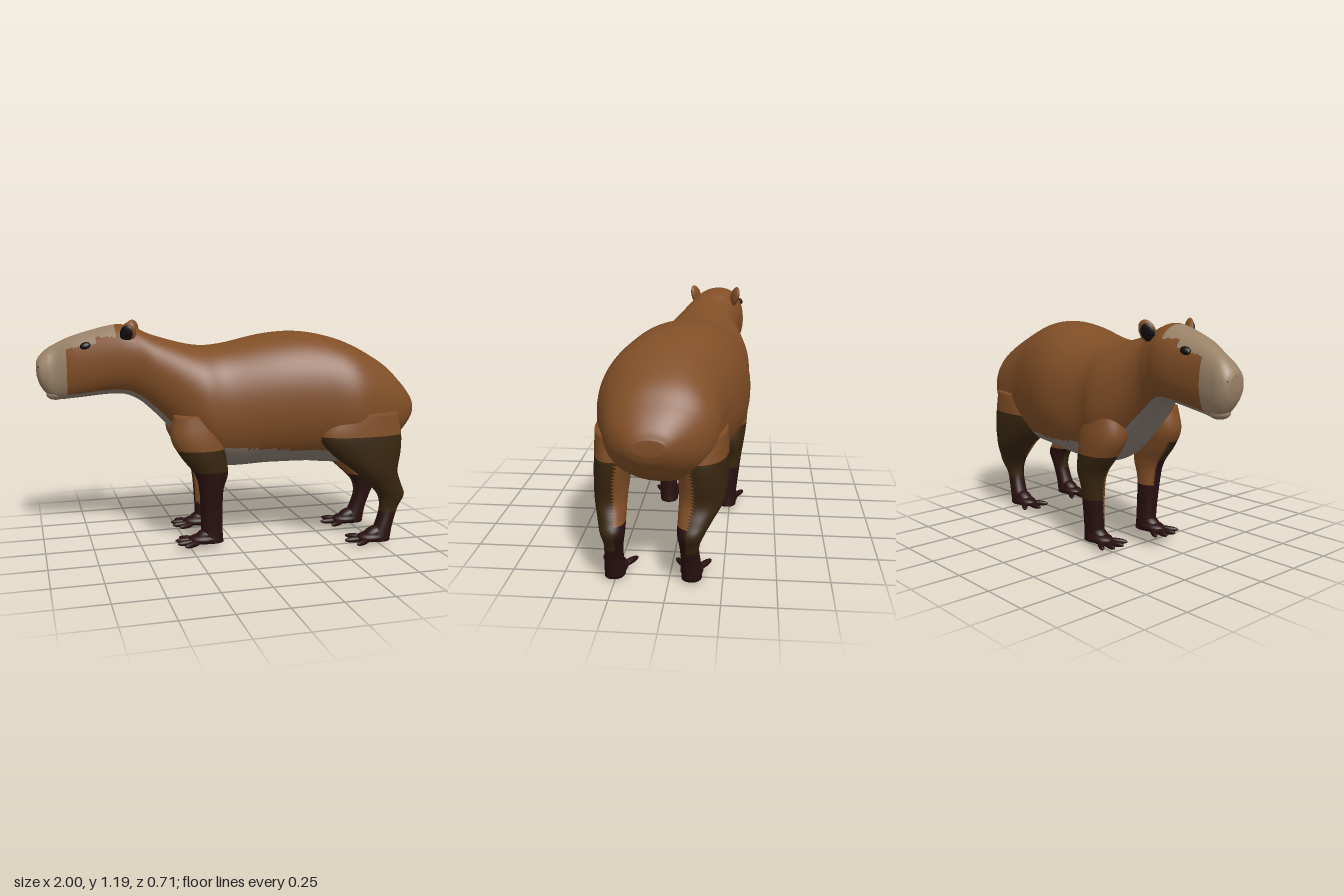
import * as THREE from 'three';

const mat = (name, color) => Object.assign(new THREE.MeshStandardMaterial({ color }), { name });
const MATS = [
  mat('brown fur', 0x804e26), mat('pale muzzle', 0x9a8268), mat('grey belly', 0x8a7f74),
  mat('dark brown fur', 0x38260f), mat('maroon feet', 0x28100f), mat('black', 0x120c0a),
];
const [BROWN, PALE, GREY, DARK, MAROON, BLACK] = MATS.keys();

// Smooth tube through sections [pos, aMin, aMax, bMin, bMax]; pick(point, u) chooses each face's material
function loft(name, sections, rings, segs, place, pick) {
  const lo = new THREE.CatmullRomCurve3(sections.map(s => new THREE.Vector3(s[0], s[1], s[2])), false, 'catmullrom');
  const hi = new THREE.CatmullRomCurve3(sections.map(s => new THREE.Vector3(s[3], s[4], 0)), false, 'catmullrom');
  const verts = [], info = [];
  const add = (pos, a, b, u) => {
    const p = place(pos, a, b);
    verts.push(p.x, p.y, p.z);
    info.push({ p, u });
  };
  const round = c => Math.sign(c) * Math.abs(c) ** (2 / 2.2);
  for (let i = 0; i <= rings; i++) {
    const A = lo.getPoint(i / rings), B = hi.getPoint(i / rings);
    for (let j = 0; j < segs; j++) {
      const t = j / segs * Math.PI * 2, u = round(Math.cos(t)), v = round(Math.sin(t));
      add(A.x, (A.y + A.z) / 2 + u * (A.z - A.y) / 2, (B.x + B.y) / 2 + v * (B.y - B.x) / 2, u);
    }
  }
  for (const s of [sections[0], sections.at(-1)]) add(s[0], (s[1] + s[2]) / 2, (s[3] + s[4]) / 2, 0);
  const lists = MATS.map(() => []);
  const face = (...ids) => {
    const p = new THREE.Vector3();
    let u = 0;
    for (const k of ids) { p.addScaledVector(info[k].p, 1 / 3); u += info[k].u / 3; }
    lists[pick(p, u)].push(...ids);
  };
  const last = rings * segs, end = last + segs;
  for (let j = 0; j < segs; j++) {
    const k = (j + 1) % segs;
    for (let i = 0; i < rings; i++) {
      const r = i * segs, n = r + segs;
      face(r + j, r + k, n + j);
      face(r + k, n + k, n + j);
    }
    face(end, k, j);
    face(end + 1, last + j, last + k);
  }
  const geo = new THREE.BufferGeometry();
  geo.setAttribute('position', new THREE.Float32BufferAttribute(verts, 3));
  geo.setIndex(lists.flat());
  let start = 0;
  lists.forEach((l, m) => { if (l.length) geo.addGroup(start, l.length, m); start += l.length; });
  geo.computeVertexNormals();
  const mesh = new THREE.Mesh(geo, MATS);
  mesh.name = name;
  return mesh;
}

// Ellipsoid part
function blob(name, m, pos, scale, rot = [0, 0, 0]) {
  const mesh = new THREE.Mesh(new THREE.SphereGeometry(1, 20, 14), MATS[m]);
  mesh.name = name;
  mesh.position.set(...pos);
  mesh.scale.set(...scale);
  mesh.rotation.set(...rot);
  return mesh;
}

// Head and trunk, nose to rump: [x, yMin, yMax, zMin, zMax]
const HEAD = [
  [-1, 0.91, 0.985, -0.255, -0.18], [-0.985, 0.86, 1.01, -0.28, -0.155], [-0.95, 0.81, 1.045, -0.293, -0.142],
  [-0.9, 0.782, 1.075, -0.292, -0.132], [-0.8, 0.79, 1.12, -0.29, -0.085], [-0.6, 0.81, 1.173, -0.297, -0.012],
  [-0.5, 0.79, 1.16, -0.278, 0.03],
];
const TRUNK = [
  [-0.4, 0.71, 1.118, -0.275, 0.09], [-0.2, 0.5, 1.067, -0.342, 0.197], [-0.05, 0.415, 1.07, -0.33, 0.21],
  [0.2, 0.42, 1.122, -0.355, 0.265], [0.4, 0.425, 1.13, -0.32, 0.305], [0.6, 0.425, 1.08, -0.262, 0.35],
  [0.8, 0.5, 0.975, -0.225, 0.3], [0.9, 0.555, 0.885, -0.155, 0.255], [0.975, 0.63, 0.8, -0.06, 0.18],
  [1, 0.68, 0.75, -0.01, 0.13],
];

function bodyColor(p, u) {
  if (p.x < -0.85) return PALE;
  if (p.x < -0.6 && p.y > (p.x < -0.7 ? 1.05 + (p.x + 0.85) * 0.2 : 1.115)) return PALE;
  if (p.x > -0.1 && p.x < 0.72 && p.y < 0.54 - Math.max(0, p.x) * 0.06) return GREY;
  return p.x <= -0.1 && u < -0.82 ? GREY : BROWN;
}

// Leg profiles, sole upwards: [y, inner reach, outer reach, xMin, xMax]
const FRONT = [
  [0.025, 0.05, 0.046, -0.2, -0.07], [0.1, 0.046, 0.047, -0.19, -0.075], [0.3, 0.045, 0.07, -0.2, -0.075],
  [0.4, 0.055, 0.085, -0.225, -0.05], [0.5, 0.075, 0.098, -0.3, -0.06], [0.6, 0.09, 0.1, -0.35, -0.07],
  [0.72, 0.09, 0.085, -0.33, -0.1],
];
const HIND = [
  [0.01, 0.047, 0.05, 0.7, 0.825], [0.1, 0.045, 0.045, 0.745, 0.84], [0.19, 0.05, 0.04, 0.77, 0.87],
  [0.26, 0.06, 0.055, 0.755, 0.902], [0.32, 0.06, 0.07, 0.7, 0.88], [0.4, 0.06, 0.09, 0.61, 0.85],
  [0.5, 0.07, 0.097, 0.48, 0.865], [0.6, 0.095, 0.097, 0.41, 0.87], [0.72, 0.12, 0.09, 0.47, 0.85],
];
// side is the outward direction in z; splay widens the upper leg outwards
const LEGS = [
  { name: 'frontLegLeft', profile: FRONT, side: 1, dx: 0, z: 0.097, splay: 0, toes: 4, dark: 0.54, maroon: 0.42, inner: 0.28 },
  { name: 'frontLegRight', profile: FRONT, side: -1, dx: 0.04, z: -0.24, splay: 0, toes: 4, dark: 0.5, maroon: 0.25, inner: 0.16 },
  { name: 'hindLegLeft', profile: HIND, side: 1, dx: 0, z: 0.255, splay: 0, toes: 3, dark: 0.6, maroon: 0.17, inner: 0.3 },
  { name: 'hindLegRight', profile: HIND, side: -1, dx: 0, z: -0.103, splay: 0.068, toes: 3, dark: 0.6, maroon: 0.17, inner: 0.3 },
];

function makeLeg({ name, profile, side, dx, z, splay, toes, dark, maroon, inner }) {
  const leg = new THREE.Group();
  leg.name = name;
  const sections = profile.map(([y, near, far, x0, x1]) => {
    const out = far + splay * THREE.MathUtils.smoothstep(y, 0.2, 0.45);
    return [y, z - (side > 0 ? near : out), z + (side > 0 ? out : near), x0 + dx, x1 + dx];
  });
  leg.add(loft(name + 'Limb', sections, 48, 32, (y, pz, x) => new THREE.Vector3(x, y, pz), (p, u) => {
    const inside = u * side < -0.35;
    if (p.y < (inside ? inner : maroon)) return MAROON;
    return inside || p.y > dark ? BROWN : DARK;
  }));
  // Foot with splayed toes pointing forward
  const y = profile[0][0] - 0.008, x = sections[0][3] + 0.035;
  leg.add(blob('foot', MAROON, [x - 0.01, y + 0.028, z], [0.085, 0.03, 0.055]));
  leg.add(blob('instep', MAROON, [x, y + 0.05, z], [0.065, 0.035, 0.042], [0, 0, 0.4]));
  for (let i = 0; i < toes; i++) {
    const a = (i / (toes - 1) - 0.5) * 1.15, r = 0.105 - 0.02 * Math.abs(a);
    leg.add(blob('toe', MAROON, [x - Math.cos(a) * r, y + 0.017, z + Math.sin(a) * r],
      [0.062, 0.016, 0.016], [0, a, 0]));
  }
  return leg;
}

export function createModel() {
  const model = new THREE.Group();
  model.name = 'capybara';
  model.add(loft('body', [...HEAD, ...TRUNK], 160, 72, (x, y, z) => new THREE.Vector3(x, y, z), bodyColor));
  LEGS.forEach(l => model.add(makeLeg(l)));

  // Ears, eyes and nostrils on each side of the head
  for (const s of [1, -1]) {
    const ear = new THREE.Group();
    ear.name = s > 0 ? 'leftEar' : 'rightEar';
    ear.add(blob('earShell', BROWN, [0, 0, 0], [0.042, 0.058, 0.018]));
    ear.add(blob('earHollow', BLACK, [-0.004, -0.004, s * 0.011], [0.034, 0.044, 0.012]));
    ear.position.set(s > 0 ? -0.54 : -0.49, 1.137, s > 0 ? -0.025 : -0.25);
    ear.rotation.set(s * 0.2, -s * 0.45, -0.3);
    model.add(ear);
    model.add(blob('eye', BLACK, [-0.755, 1.07, -0.178 + s * 0.098], [0.028, 0.019, 0.014], [-s * 0.5, -s * 0.25, 0.15]));
    model.add(blob('nostril', BLACK, [-0.985, 0.955, -0.217 + s * 0.048], [0.009, 0.014, 0.009]));
  }
  // Lower lip
  model.add(blob('lowerLip', PALE, [-0.905, 0.808, -0.213], [0.05, 0.03, 0.05]));
  return model;
}
